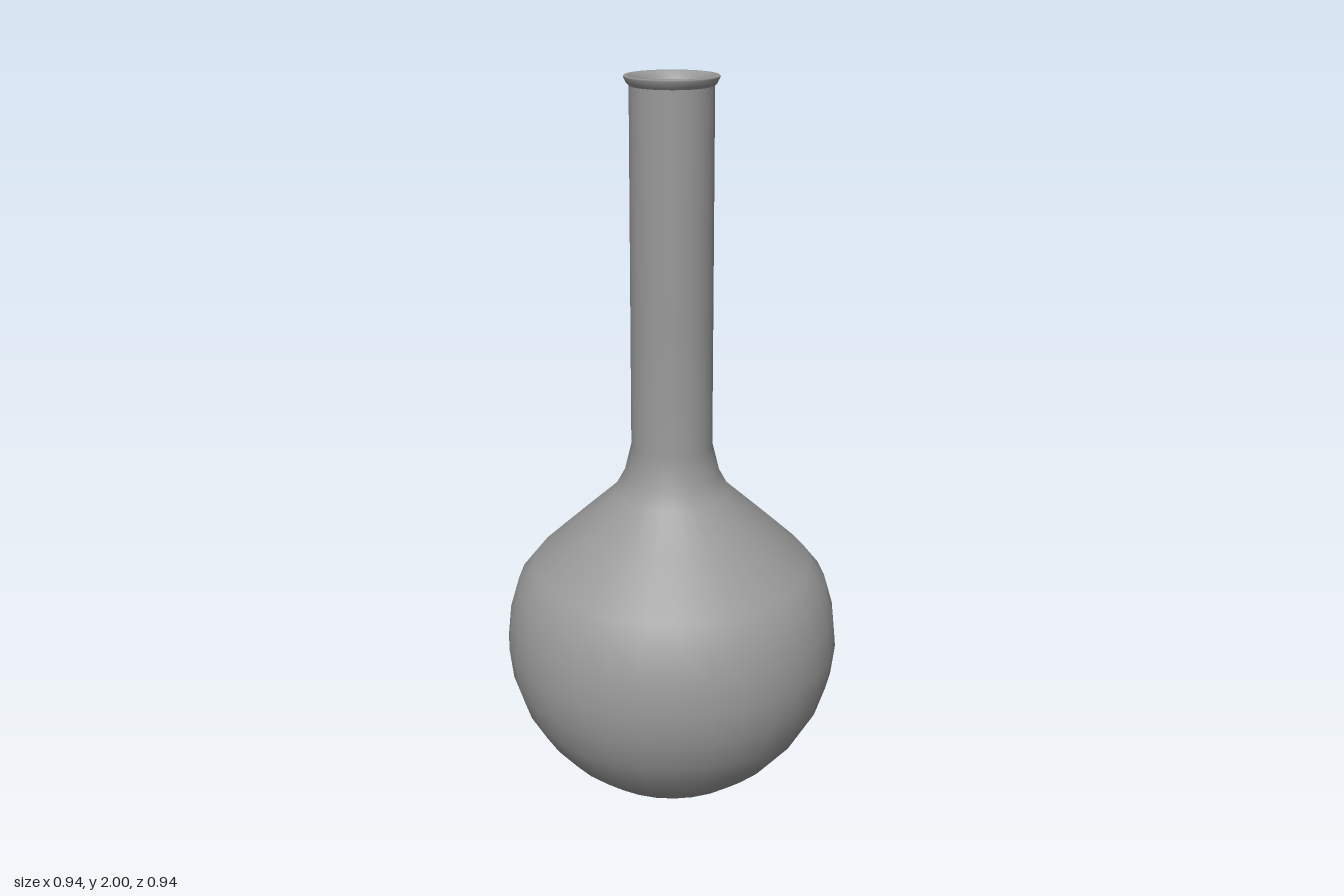
import * as THREE from 'three';

const SIDES = 32;
const WALL = 0.015;

// [radius, height], from the foot up to the neck
const BULB = [
  [0.167, 0], [0.26, 0.045], [0.33, 0.105], [0.387, 0.175], [0.432, 0.255],
  [0.46, 0.345], [0.47, 0.435], [0.46, 0.525], [0.434, 0.614], [0.39, 0.67],
  [0.275, 0.778], [0.16, 0.884], [0.132, 0.935], [0.111, 1.02],
];
const NECK = [[0.11, 1.36], [0.108, 1.975]];
const LIP = [[0.108, 1.975], [0.115, 1.982], [0.122, 1.996], [0.12, 2], [0.108, 2], [0.1, 1.985], [0.091, 1.965]];

export function createModel() {
  const flask = new THREE.Group();
  flask.name = 'flask';
  const material = new THREE.MeshStandardMaterial({ color: 0x999999 });

  const addLathe = (name, profile) => {
    const points = profile.map(([r, y]) => new THREE.Vector2(r, y));
    const mesh = new THREE.Mesh(new THREE.LatheGeometry(points, SIDES), material);
    mesh.name = name;
    flask.add(mesh);
  };

  // Outer skin with its flat foot
  addLathe('outerWall', [[0, 0], ...BULB, ...NECK]);

  // Flared lip rolling over into the mouth
  addLathe('lip', LIP);

  // Hollow inside: the same profile, thinner, running back down to the floor
  const inner = [...BULB, ...NECK].map(([r, y]) => [r - WALL, Math.max(y, WALL)]).reverse();
  inner[0] = LIP.at(-1);
  addLathe('innerWall', [...inner, [0, WALL]]);

  return flask;
}
